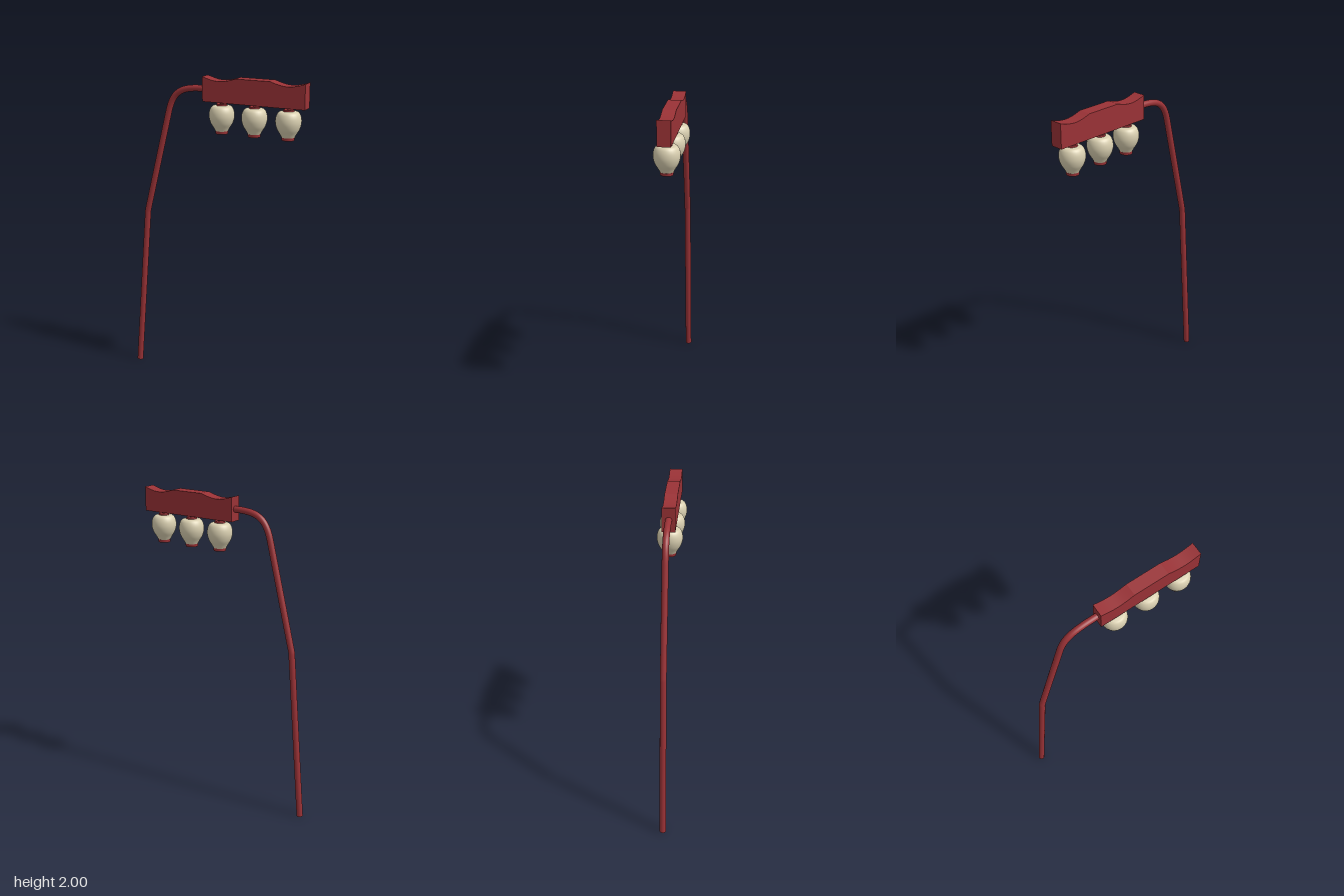
import * as THREE from 'three';

export function createModel() {
  const model = new THREE.Group();
  const red = new THREE.MeshStandardMaterial({ color: 0x9a3236 });
  red.name = 'red lacquer';
  const cream = new THREE.MeshStandardMaterial({ color: 0xd9cfb0 });
  cream.name = 'cream glass';

  const add = (parent, name, geometry, material, x = 0, y = 0, z = 0) => {
    const mesh = new THREE.Mesh(geometry, material);
    mesh.name = name;
    mesh.position.set(x, y, z);
    parent.add(mesh);
    return mesh;
  };
  const v = (x, y) => new THREE.Vector3(x, y, 0);

  // Leaning pole with a kink and a curved neck
  const path = new THREE.CurvePath();
  path.add(new THREE.LineCurve3(v(-0.579, 0.002), v(-0.49, 1.09)));
  path.add(new THREE.LineCurve3(v(-0.49, 1.09), v(-0.324, 1.76)));
  path.add(new THREE.CubicBezierCurve3(v(-0.324, 1.76), v(-0.288, 1.905), v(-0.22, 1.922), v(-0.06, 1.922)));
  add(model, 'pole', new THREE.TubeGeometry(path, 120, 0.02, 20), red);
  const foot = add(model, 'poleFoot', new THREE.CircleGeometry(0.02, 20), red, -0.579, 0.002);
  foot.rotation.set(Math.PI / 2, 0.082, 0);

  // Beam with a scooped top edge
  const outline = new THREE.Shape();
  outline.moveTo(-0.07, 1.848);
  outline.lineTo(0.595, 1.848);
  outline.lineTo(0.595, 2);
  outline.bezierCurveTo(0.5, 1.967, 0.46, 1.972, 0.375, 2);
  outline.lineTo(0.15, 2);
  outline.bezierCurveTo(0.065, 1.972, 0.025, 1.967, -0.07, 2);
  const beam = new THREE.ExtrudeGeometry(outline, { depth: 0.08, bevelEnabled: false, curveSegments: 20 });
  add(model, 'beam', beam, red, 0, 0, -0.04);

  // Hanging lanterns
  const profile = new THREE.SplineCurve([
    [0.038, 1.668], [0.05, 1.69], [0.068, 1.72], [0.078, 1.755],
    [0.077, 1.787], [0.068, 1.812], [0.056, 1.824],
  ].map(([r, y]) => new THREE.Vector2(r, y))).getPoints(24);
  profile.push(new THREE.Vector2(0.03, 1.828), new THREE.Vector2(0, 1.828));
  const glass = new THREE.LatheGeometry(profile, 32);
  for (const x of [0.043, 0.26, 0.48]) {
    const lantern = new THREE.Group();
    lantern.name = 'lantern';
    lantern.position.x = x;
    add(lantern, 'globe', glass, cream);
    add(lantern, 'bottomCap', new THREE.CylinderGeometry(0.04, 0.038, 0.018, 32), red, 0, 1.662);
    add(lantern, 'topCap', new THREE.CylinderGeometry(0.032, 0.034, 0.014, 32), red, 0, 1.83);
    add(lantern, 'stem', new THREE.CylinderGeometry(0.01, 0.01, 0.03, 16), red, 0, 1.84);
    add(lantern, 'mount', new THREE.CylinderGeometry(0.02, 0.016, 0.008, 16), red, 0, 1.846);
    model.add(lantern);
  }
  return model;
}
